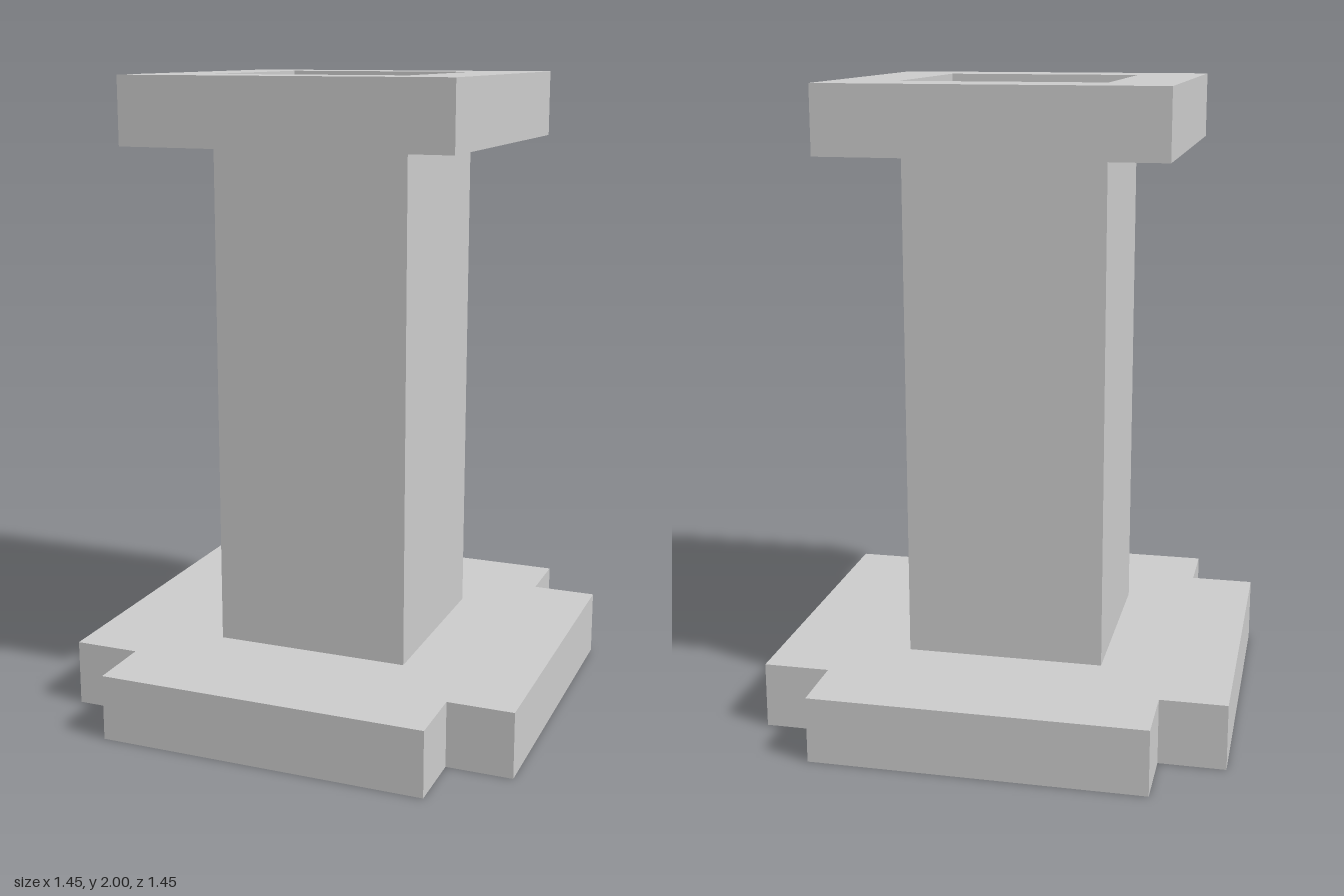
import * as THREE from 'three';

const U = 2 / 29;          // modelling unit
const SLAB = 3 * U;        // thickness of base and rim
const COLUMN = 4.5 * U;    // half widths
const RIM = 7.5 * U;
const BASE = 10.5 * U;

const square = (h, Type = THREE.Shape) => new Type(
  [[-h, -h], [h, -h], [h, h], [-h, h]].map(([x, y]) => new THREE.Vector2(x, y)));

// Extrudes a plan outline upwards, starting at height y
function slab(name, shape, y, height, material) {
  const geometry = new THREE.ExtrudeGeometry(shape, { depth: height, bevelEnabled: false });
  geometry.rotateX(-Math.PI / 2);
  const mesh = new THREE.Mesh(geometry, material);
  mesh.name = name;
  mesh.position.y = y;
  return mesh;
}

export function createModel() {
  const group = new THREE.Group();
  group.name = 'pedestal';
  const material = new THREE.MeshStandardMaterial({ color: 0xcccccc, flatShading: true });

  // Base: square with notched corners
  const corners = [];
  for (let i = 0; i < 4; i++) {
    for (const [x, y] of [[BASE, -RIM], [BASE, RIM], [RIM, RIM]]) {
      corners.push(new THREE.Vector2(x, y).rotateAround(new THREE.Vector2(), i * Math.PI / 2));
    }
  }
  group.add(slab('base', new THREE.Shape(corners), 0, SLAB, material));

  // Column: its top is the floor of the recess
  group.add(slab('column', square(COLUMN), SLAB, 2 - 2 * SLAB, material));

  // Rim: square frame around the recess
  const frame = square(RIM);
  frame.holes.push(square(COLUMN, THREE.Path));
  group.add(slab('rim', frame, 2 - SLAB, SLAB, material));

  return group;
}
